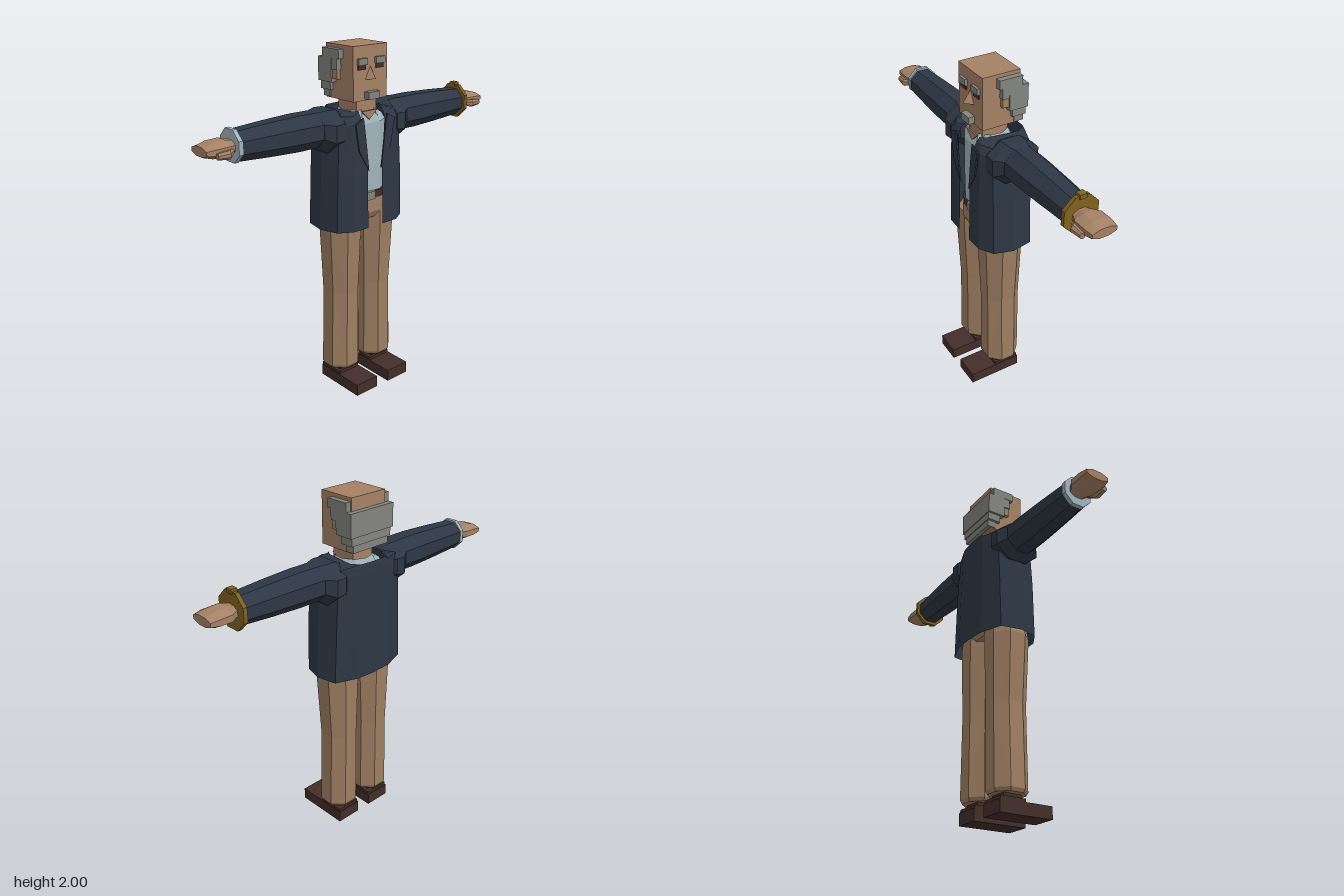
import * as THREE from 'three';

const mat = (name, color, double) => {
  const m = new THREE.MeshStandardMaterial({ color });
  m.name = name;
  if (double) m.side = THREE.DoubleSide;
  return m;
};

// Octagonal cross-sections, upright or along the arm
const N = 8, K = 1 / Math.cos(Math.PI / N);
const ring = (f) => Array.from({ length: N }, (_, i) => {
  const a = ((i + 0.5) / N) * Math.PI * 2;
  return f(Math.cos(a) * K, Math.sin(a) * K);
});
const ringY = ([y, cx, cz, rx, rz]) => ring((c, s) => [cx + rx * c, y, cz + rz * s]);
const ringX = ([x, cy, cz, ry, rz]) => ring((c, s) => [x, cy + ry * s, cz + rz * c]);

// Flat-faced skin over a row of cross-sections
function loft(rings, closed = true) {
  const n = rings[0].length, pos = rings.flat(2), idx = [];
  for (let i = 0; i < rings.length - 1; i++) {
    for (let j = 0; j < (closed ? n : n - 1); j++) {
      const a = i * n + j, b = i * n + ((j + 1) % n);
      idx.push(a, a + n, b, b, a + n, b + n);
    }
  }
  if (closed) {
    const e = (rings.length - 1) * n;
    for (let j = 1; j < n - 1; j++) idx.push(0, j, j + 1, e, e + j + 1, e + j);
  }
  const g = new THREE.BufferGeometry();
  g.setAttribute('position', new THREE.Float32BufferAttribute(pos, 3));
  g.setIndex(idx);
  const flat = g.toNonIndexed();
  flat.computeVertexNormals();
  return flat;
}

// Box from its limits
function box(x0, x1, y0, y1, z0, z1) {
  return new THREE.BoxGeometry(x1 - x0, y1 - y0, z1 - z0)
    .translate((x0 + x1) / 2, (y0 + y1) / 2, (z0 + z1) / 2);
}

// Thin plate from an outline facing the front
function plate(pts, z, depth = 0.008) {
  const s = new THREE.Shape(pts.map(([x, y]) => new THREE.Vector2(x, y)));
  return new THREE.ExtrudeGeometry(s, { depth, bevelEnabled: false }).translate(0, 0, z);
}

// Mirrored copy across x with corners put back in order
function mirror(geo) {
  const g = geo.index ? geo.toNonIndexed() : geo.clone();
  g.scale(-1, 1, 1);
  const p = g.attributes.position;
  for (let i = 0; i < p.count; i += 3) {
    for (let k = 0; k < 3; k++) {
      const t = p.getComponent(i + 1, k);
      p.setComponent(i + 1, k, p.getComponent(i + 2, k));
      p.setComponent(i + 2, k, t);
    }
  }
  g.computeVertexNormals();
  return g;
}

export function createModel() {
  const skin = mat('skin', 0xa58165);
  const hair = mat('grey hair', 0x83857f);
  const jacket = mat('navy jacket', 0x2d3744, true);
  const shirt = mat('pale blue shirt', 0xa0b4bb, true);
  const trousers = mat('tan trousers', 0x9e7e62);
  const leather = mat('dark brown leather', 0x432e29);
  const gold = mat('gold', 0x80621f);
  const steel = mat('steel', 0x84827c);

  const model = new THREE.Group();
  model.name = 'standingMan';
  const add = (name, geo, m) => {
    const mesh = new THREE.Mesh(geo, m);
    mesh.name = name;
    model.add(mesh);
  };
  const pair = (name, geo, m) => {
    add(name + 'Left', geo, m);
    add(name + 'Right', mirror(geo), m);
  };

  // Head and face
  add('head', box(-0.12, 0.12, 1.71, 2, -0.14, 0.08), skin);
  add('neck', box(-0.07, 0.07, 1.57, 1.72, -0.1, 0.05), skin);
  pair('ear', box(0.11, 0.143, 1.82, 1.9, -0.06, -0.025), skin);
  pair('eyebrow', box(0.03, 0.095, 1.9, 1.935, 0.07, 0.095), hair);
  pair('eye', box(0.035, 0.09, 1.875, 1.903, 0.078, 0.086), leather);
  const tip = [0, 1.825, 0.125], top = [0, 1.89, 0.08];
  const l = [-0.036, 1.822, 0.08], r = [0.036, 1.822, 0.08];
  const nose = new THREE.BufferGeometry();
  nose.setAttribute('position', new THREE.Float32BufferAttribute(
    [l, tip, top, tip, r, top, l, r, tip].flat(), 3));
  nose.computeVertexNormals();
  add('nose', nose, skin);
  add('goatee', box(-0.04, 0.04, 1.718, 1.758, 0.07, 0.115), hair);

  // Stepped hair around the sides and back
  [[0.153, 1.93, 1.98, -0.135, 0], [0.153, 1.8, 1.93, -0.17, -0.06],
    [0.15, 1.87, 1.93, -0.06, -0.02], [0.14, 1.755, 1.8, -0.165, -0.085],
    [0.125, 1.715, 1.755, -0.16, -0.105]].forEach(([x, ...d], i) =>
    add('hairStep' + (i + 1), box(-x, x, ...d), hair));

  // Shirt, open neck and collar
  add('shirt', loft([[1.15, 0, -0.035, 0.19, 0.11], [1.35, 0, -0.035, 0.19, 0.112],
    [1.58, 0, -0.035, 0.19, 0.11], [1.63, 0, -0.035, 0.12, 0.09]].map(ringY)), shirt);
  add('openNeck', plate([[-0.055, 1.65], [0, 1.6], [0.055, 1.65]], 0.068), skin);
  const collarRing = (y, rx, rz) => Array.from({ length: 9 }, (_, i) => {
    const a = Math.PI * (0.64 + (1.72 * i) / 8);
    return [rx * Math.cos(a), y, -0.03 + rz * Math.sin(a)];
  });
  add('collar', loft([collarRing(1.61, 0.13, 0.12), collarRing(1.655, 0.1, 0.1)], false), shirt);

  // Belt and trousers
  add('belt', loft([[1.15, 0, -0.035, 0.2, 0.12], [1.19, 0, -0.035, 0.2, 0.12]].map(ringY)), leather);
  add('buckle', box(-0.03, 0.03, 1.145, 1.192, 0.07, 0.095), steel);
  add('hips', loft([[1.03, 0, -0.03, 0.1, 0.1], [1.07, 0, -0.03, 0.2, 0.12],
    [1.15, 0, -0.035, 0.205, 0.122]].map(ringY)), trousers);
  pair('trouserLeg', loft([[0.11, 0.125, -0.035, 0.095, 0.095], [0.13, 0.125, -0.035, 0.105, 0.105],
    [0.6, 0.12, -0.035, 0.097, 0.105], [1, 0.122, -0.03, 0.115, 0.118],
    [1.09, 0.112, -0.03, 0.1, 0.115]].map(ringY)), trousers);

  // Shoes
  pair('ankle', box(0.07, 0.178, 0.08, 0.12, -0.09, 0.02), leather);
  pair('shoe', box(0.045, 0.2, 0, 0.07, -0.125, 0.2), leather);
  pair('shoeHeel', box(0.048, 0.197, 0.07, 0.088, -0.12, 0.035), leather);

  // Open jacket: half outlines from front edge to middle back
  const sections = [
    [1, [0.055, 0.13, 0.16, 0.128, 0.24, 0.08, 0.273, -0.03, 0.25, -0.15, 0.12, -0.197, 0, -0.205]],
    [1.33, [0.052, 0.122, 0.155, 0.122, 0.23, 0.08, 0.258, -0.03, 0.235, -0.15, 0.115, -0.194, 0, -0.2]],
    [1.6, [0.078, 0.11, 0.15, 0.115, 0.215, 0.075, 0.24, -0.03, 0.22, -0.15, 0.11, -0.19, 0, -0.195]],
    [1.64, [0.085, 0.09, 0.13, 0.095, 0.19, 0.065, 0.21, -0.03, 0.2, -0.15, 0.1, -0.188, 0, -0.193]],
    [1.655, [0.08, 0.075, 0.09, 0.065, 0.105, 0.04, 0.115, -0.03, 0.125, -0.14, 0.09, -0.183, 0, -0.19]],
  ];
  add('jacketBody', loft(sections.map(([y, d]) => {
    const half = [];
    for (let i = 0; i < d.length; i += 2) half.push([d[i], y, d[i + 1]]);
    return [...half.map(([x, h, z]) => [-x, h, z]), ...half.slice(0, -1).reverse()];
  }), false), jacket);
  pair('lapel', plate([[0.045, 1.33], [0.115, 1.45], [0.14, 1.6], [0.085, 1.63], [0.066, 1.5]], 0.117), jacket);

  // Sleeves and shoulder caps
  pair('shoulder', loft([[0.15, 1.57, -0.04, 0.08, 0.1], [0.19, 1.565, -0.04, 0.108, 0.138],
    [0.25, 1.56, -0.04, 0.115, 0.138], [0.3, 1.575, -0.04, 0.093, 0.1]].map(ringX)), jacket);
  pair('sleeve', loft([[0.24, 1.575, -0.04, 0.093, 0.1], [0.42, 1.575, -0.04, 0.095, 0.097],
    [0.6, 1.575, -0.04, 0.088, 0.09], [0.8, 1.575, -0.04, 0.076, 0.08]].map(ringX)), jacket);

  // Shirt cuff on the right wrist, gold watch on the left
  const band = (x0, x1, r) => loft([[x0, 1.578, -0.04, r, r], [x1, 1.578, -0.04, r, r]].map(ringX));
  add('shirtCuffRight', band(-0.815, -0.792, 0.084), shirt);
  add('watchBand', band(0.79, 0.813, 0.098), gold);
  add('watchFace', box(0.783, 0.82, 1.665, 1.69, -0.06, -0.02), gold);

  // Hands
  pair('hand', loft([[0.79, 1.575, -0.04, 0.034, 0.045], [0.825, 1.575, -0.04, 0.036, 0.055],
    [0.86, 1.577, -0.042, 0.043, 0.077], [0.93, 1.577, -0.043, 0.04, 0.078],
    [0.982, 1.577, -0.045, 0.025, 0.07]].map(ringX)), skin);
  pair('thumb', loft([[0.83, 1.565, 0.005, 0.015, 0.02], [0.87, 1.56, 0.04, 0.022, 0.022],
    [0.935, 1.56, 0.04, 0.016, 0.016]].map(ringX)), skin);

  return model;
}
